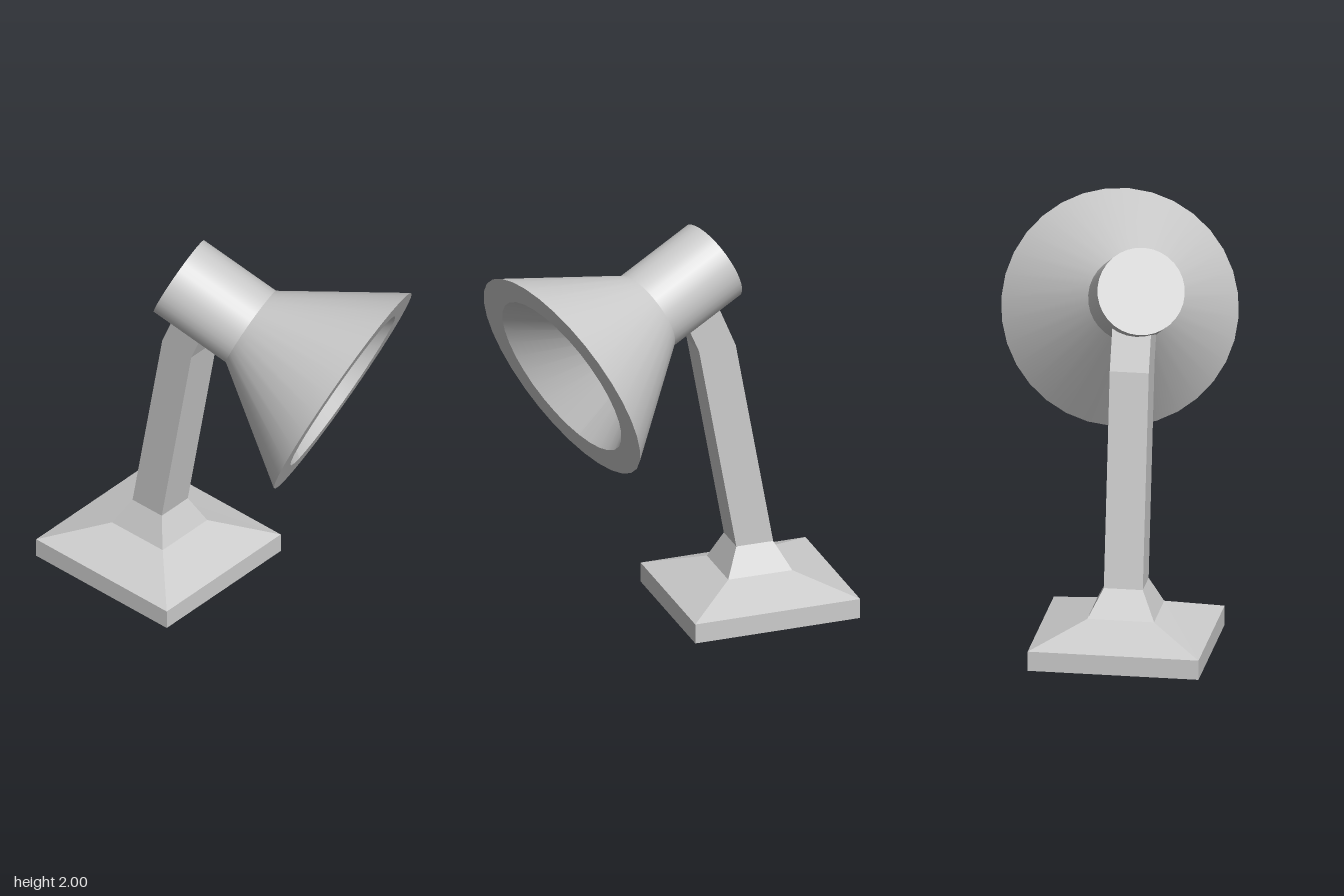
import * as THREE from 'three';

const SEGMENTS = 32;
const smooth = new THREE.MeshStandardMaterial({ color: 0xcccccc });
const flat = new THREE.MeshStandardMaterial({ color: 0xcccccc, flatShading: true });

// Lofts rectangular sections [x0, x1, zFront, yFront, zBack, yBack], bottom to top
function loft(name, sections) {
  const positions = [];
  const index = [];
  for (const [x0, x1, zf, yf, zb, yb] of sections) {
    positions.push(x0, yf, zf, x1, yf, zf, x1, yb, zb, x0, yb, zb);
  }
  for (let s = 0; s < sections.length - 1; s++) {
    for (let i = 0; i < 4; i++) {
      const a = s * 4 + i;
      const b = s * 4 + (i + 1) % 4;
      index.push(a, b, b + 4, a, b + 4, a + 4);
    }
  }
  const t = (sections.length - 1) * 4;
  index.push(0, 2, 1, 0, 3, 2, t, t + 1, t + 2, t, t + 2, t + 3);
  const geometry = new THREE.BufferGeometry();
  geometry.setAttribute('position', new THREE.Float32BufferAttribute(positions, 3));
  geometry.setIndex(index);
  geometry.computeVertexNormals();
  const mesh = new THREE.Mesh(geometry, flat);
  mesh.name = name;
  return mesh;
}

// One straight band of revolution between two [radius, height] points
function band(name, from, to) {
  const points = [from, to].map(([r, y]) => new THREE.Vector2(r, y));
  const mesh = new THREE.Mesh(new THREE.LatheGeometry(points, SEGMENTS), smooth);
  mesh.name = name;
  return mesh;
}

// Lamp head, built along local +y from the back cap to the rim
function createHead() {
  const head = new THREE.Group();
  head.name = 'lampHead';
  const back = new THREE.Vector3(-0.215, 1.81, -0.27);
  const axis = new THREE.Vector3(0.24, -0.418, 0.877).normalize();
  head.position.copy(back);
  head.quaternion.setFromUnitVectors(new THREE.Vector3(0, 1, 0), axis);

  const neck = 0.433, rim = 0.981, depth = 0.46;
  const floor = rim - depth;
  head.add(
    band('backCap', [0, 0], [0.215, 0]),
    band('neck', [0.215, 0], [0.215, neck]),
    band('shade', [0.215, neck], [0.585, rim]),
    band('rim', [0.585, rim], [0.445, rim])
  );

  // Inner cone leans sideways a little towards its small floor disc
  const lean = new THREE.Vector3(0.083, -0.057, -0.05)
    .applyQuaternion(head.quaternion.clone().invert());
  const inner = [
    band('reflector', [0.445, rim], [0.08, floor]),
    band('reflectorFloor', [0.08, floor], [0, floor])
  ];
  for (const mesh of inner) {
    const p = mesh.geometry.attributes.position;
    for (let i = 0; i < p.count; i++) {
      const k = (rim - p.getY(i)) / depth;
      p.setX(i, p.getX(i) + lean.x * k);
      p.setZ(i, p.getZ(i) + lean.z * k);
    }
    mesh.geometry.computeVertexNormals();
    head.add(mesh);
  }
  return head;
}

export function createModel() {
  const model = new THREE.Group();
  model.name = 'deskLamp';

  // Square base with a shallow sloped top
  model.add(loft('base', [
    [-0.59, 0.255, -0.02, 0, -0.87, 0.025],
    [-0.59, 0.255, -0.02, 0.1, -0.87, 0.125],
    [-0.33, 0, -0.275, 0.205, -0.605, 0.213]
  ]));

  // Flared foot, leaning stem and bent tip that ends inside the neck
  model.add(loft('arm', [
    [-0.33, 0, -0.275, 0.205, -0.605, 0.213],
    [-0.263, -0.07, -0.34, 0.345, -0.53, 0.35],
    [-0.263, -0.07, -0.148, 1.4, -0.337, 1.41],
    [-0.263, -0.07, -0.075, 1.57, -0.23, 1.665]
  ]));

  model.add(createHead());
  return model;
}
